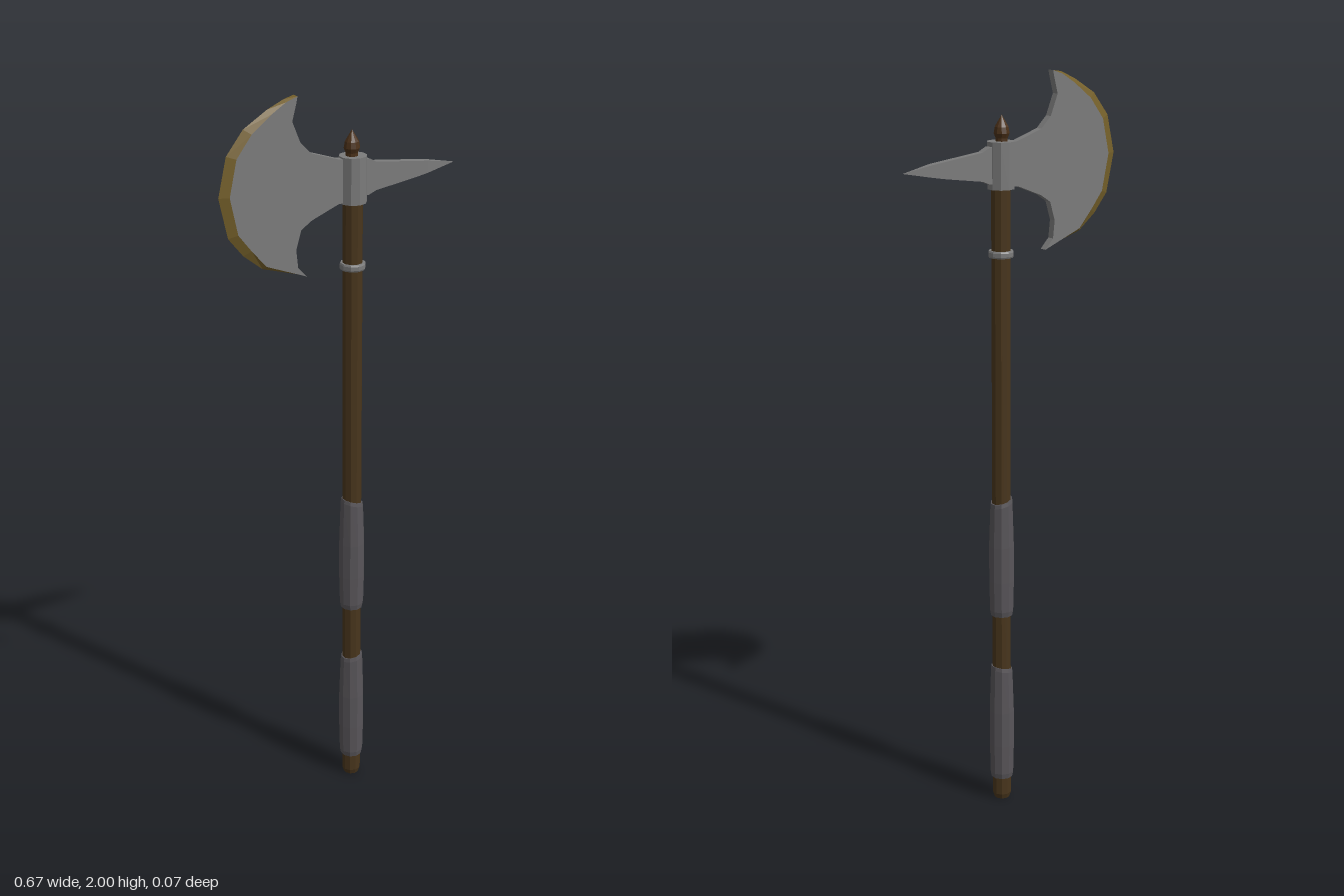
import * as THREE from 'three';

const AXIS_X = 0.037; // the shaft stands slightly off centre
const SIDES = 10;
const HALF = 0.01; // half thickness of the blade and spike

const material = (color, side = THREE.FrontSide) =>
  new THREE.MeshStandardMaterial({ color, side, flatShading: true });
const steel = material(0x7b7b7b);
const leather = material(0x585559);
const wood = material(0x48351c);
const darkWood = material(0x4a3018);
const gold = material(0x75602a, THREE.DoubleSide);

const vectors = (points) => points.map(([x, y]) => new THREE.Vector2(x, y));

function part(name, geometry, mat) {
  const mesh = new THREE.Mesh(geometry, mat);
  mesh.name = name;
  return mesh;
}

// Faceted turned part around a vertical axis; profile is [radius, y] from bottom to top
function turned(name, profile, mat, x = AXIS_X) {
  const mesh = part(name, new THREE.LatheGeometry(vectors(profile), SIDES), mat);
  mesh.position.x = x;
  return mesh;
}

// Flat plate centred on z = 0
function plate(outline) {
  const geometry = new THREE.ExtrudeGeometry(new THREE.Shape(vectors(outline)), {
    depth: 2 * HALF, bevelEnabled: false,
  });
  return geometry.translate(0, 0, -HALF);
}

// Leather wrap with a slightly slanted upper end
function grip(name, y0, y1, slant) {
  const mesh = turned(name, [
    [0, y0], [0.03, y0], [0.033, y0 + 0.015], [0.035, y0 + 0.1],
    [0.035, y0 + 0.2], [0.031, y1 - 0.01], [0.029, y1], [0, y1],
  ], leather);
  const pos = mesh.geometry.attributes.position;
  for (let i = 0; i < pos.count; i++) {
    if (pos.getY(i) > y1 - 0.02) pos.setY(i, pos.getY(i) + pos.getX(i) * slant);
  }
  return mesh;
}

function axeBlade() {
  const group = new THREE.Group();
  group.name = 'axeBlade';

  // Cutting edge from the upper horn to the lower horn
  const edge = [
    [-0.122, 2.0], [-0.155, 1.995], [-0.2, 1.975], [-0.265, 1.935], [-0.312, 1.875],
    [-0.335, 1.775], [-0.312, 1.67], [-0.272, 1.62], [-0.22, 1.578], [-0.1, 1.541],
  ];
  // Start of the bevel: pulled inwards, fading out at the horns
  const last = edge.length - 1;
  const inset = edge.map(([x, y], i) => {
    const k = 0.11 * Math.min(1, i / 3, (last - i) / 2);
    return [x + (-0.1 - x) * k, y + (1.775 - y) * k * 0.7];
  });
  // Concave back of the blade, from the lower horn to the upper horn
  const back = [
    [-0.125, 1.568], [-0.13, 1.615], [-0.115, 1.665], [-0.085, 1.685], [-0.01, 1.715],
    [0.03, 1.718], [0.03, 1.825], [-0.01, 1.83], [-0.085, 1.855], [-0.115, 1.885],
    [-0.137, 1.94], [-0.125, 1.985],
  ];
  group.add(part('bladeBody', plate([...inset, ...back]), steel));

  // Two sloping strips meeting in the sharp edge
  const corners = [];
  for (const z of [HALF, -HALF]) {
    for (let i = 0; i < last; i++) {
      const a = [...inset[i], z], b = [...inset[i + 1], z];
      const c = [...edge[i + 1], 0], d = [...edge[i], 0];
      const quad = [a, d, c, a, c, b];
      if (z < 0) quad.reverse();
      corners.push(...quad.flat());
    }
  }
  const bevel = new THREE.BufferGeometry();
  bevel.setAttribute('position', new THREE.Float32BufferAttribute(corners, 3));
  bevel.computeVertexNormals();
  group.add(part('cuttingEdge', bevel, gold));
  return group;
}

// Rear spike, thinning to a point
function spike() {
  const geometry = plate([
    [0.04, 1.725], [0.078, 1.727], [0.1, 1.736], [0.21, 1.752], [0.25, 1.759],
    [0.335, 1.775], [0.25, 1.791], [0.1, 1.809], [0.078, 1.82], [0.04, 1.822],
  ]);
  const pos = geometry.attributes.position;
  for (let i = 0; i < pos.count; i++) {
    if (pos.getX(i) > 0.3) pos.setZ(i, 0);
  }
  geometry.computeVertexNormals();
  return part('spike', geometry, steel);
}

export function createModel() {
  const model = new THREE.Group();
  model.name = 'battleAxe';
  model.add(
    turned('shaft', [[0, 0], [0.021, 0], [0.026, 0.015], [0.026, 1.72], [0, 1.72]], wood),
    grip('lowerGrip', 0.065, 0.395, 0.2),
    grip('upperGrip', 0.55, 0.878, -0.28),
    turned('ring', [
      [0.024, 1.536], [0.032, 1.536], [0.034, 1.54], [0.034, 1.55], [0.032, 1.554], [0.024, 1.554],
    ], steel),
    turned('collar', [[0, 1.712], [0.036, 1.712], [0.036, 1.832], [0, 1.832]], steel),
    turned('finial', [
      [0.016, 1.825], [0.016, 1.84], [0.021, 1.852], [0.018, 1.868], [0, 1.898],
    ], darkWood, 0.034),
    axeBlade(),
    spike(),
  );
  return model;
}
